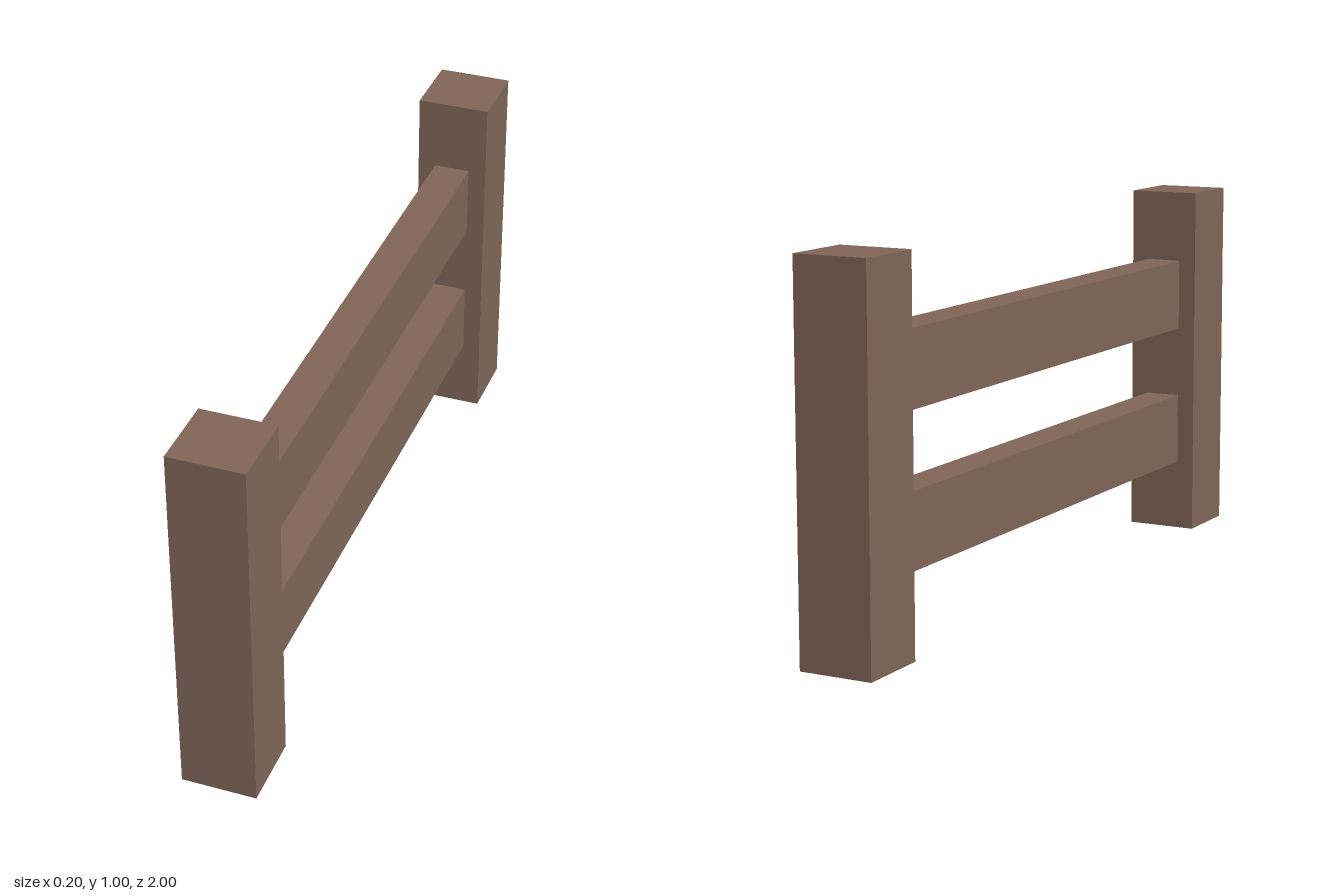
import * as THREE from 'three';

export function createModel() {
  const model = new THREE.Group();
  model.name = 'fence';
  const wood = new THREE.MeshStandardMaterial({ color: 0x806658, flatShading: true });

  const addBox = (name, width, height, depth, y, z) => {
    const mesh = new THREE.Mesh(new THREE.BoxGeometry(width, height, depth), wood);
    mesh.name = name;
    mesh.position.set(0, y, z);
    model.add(mesh);
  };

  // Square posts at both ends
  addBox('frontPost', 0.2, 1, 0.2, 0.5, 0.9);
  addBox('backPost', 0.2, 1, 0.2, 0.5, -0.9);

  // Horizontal rails between the posts
  addBox('lowerRail', 0.1, 0.2, 1.6, 0.3, 0);
  addBox('upperRail', 0.1, 0.2, 1.6, 0.7, 0);

  return model;
}
